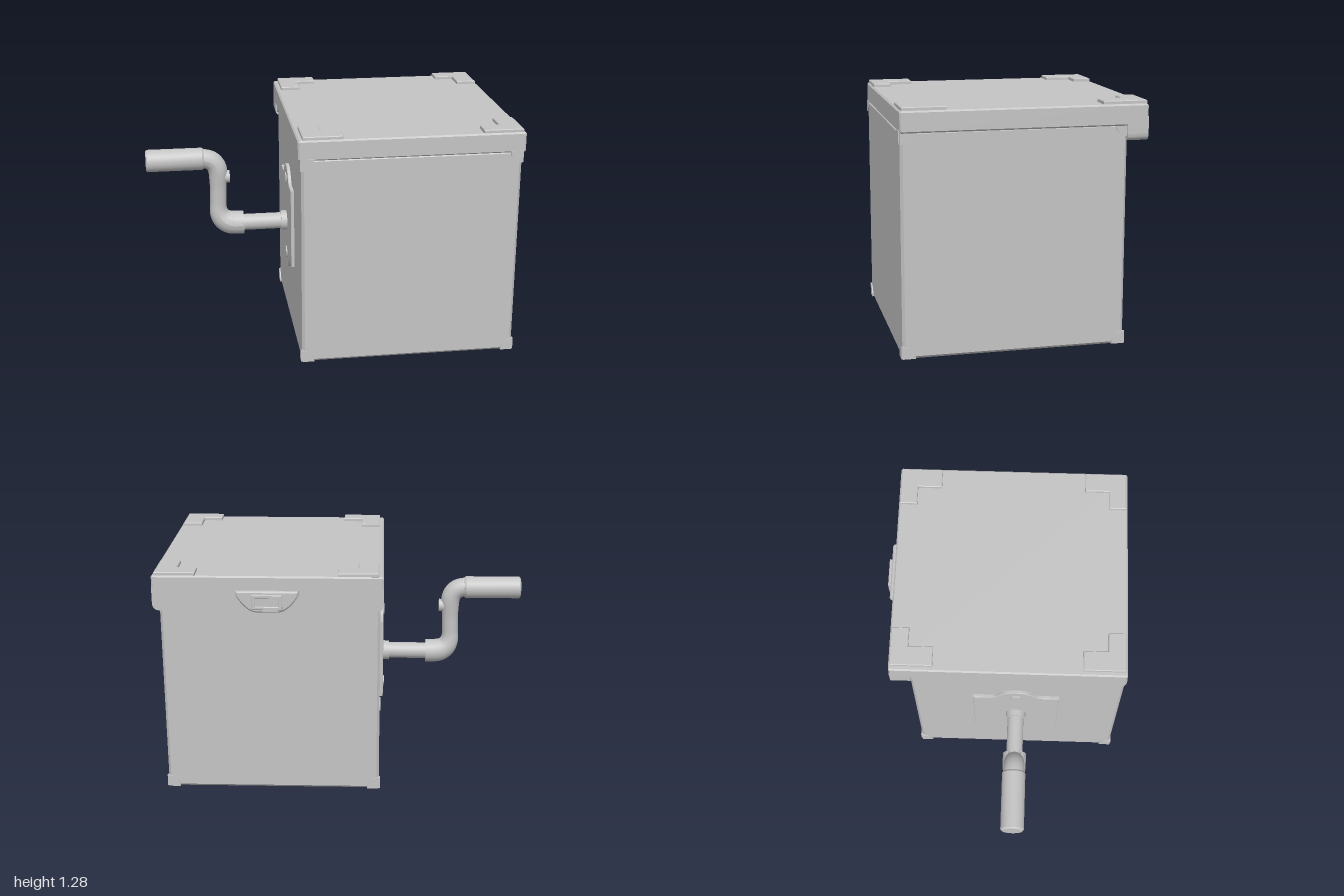
import * as THREE from 'three';
import { toCreasedNormals } from 'three/addons/utils/BufferGeometryUtils.js';

export function createModel() {
  const model = new THREE.Group();
  model.name = 'crankBox';
  const grey = new THREE.MeshStandardMaterial({ color: 0xc4c4c4 });
  grey.name = 'plain grey';

  const add = (name, geometry, parent = model) => {
    const mesh = new THREE.Mesh(geometry, grey);
    mesh.name = name;
    parent.add(mesh);
    return mesh;
  };

  // Extrusion from z = 0 to depth, with a one-step bevel cut inside the outline
  const slab = (shape, depth, bevel = 0, curveSegments = 10) => {
    const g = new THREE.ExtrudeGeometry(shape, {
      depth: depth - 2 * bevel, bevelEnabled: bevel > 0, bevelThickness: bevel,
      bevelSize: bevel, bevelOffset: -bevel, bevelSegments: 1, curveSegments,
    });
    g.translate(0, 0, bevel);
    return toCreasedNormals(g, 0.5);
  };
  const polygon = (pts) => new THREE.Shape(pts.map(([x, y]) => new THREE.Vector2(x, y)));

  // Box with all twelve edges chamfered
  const chamferBox = (x0, x1, y0, y1, z0, z1, c) => {
    const s = polygon([
      [x0 + c, y0], [x1 - c, y0], [x1, y0 + c], [x1, y1 - c],
      [x1 - c, y1], [x0 + c, y1], [x0, y1 - c], [x0, y0 + c],
    ]);
    return slab(s, z1 - z0, c).translate(0, 0, z0);
  };

  // Cylinder along x between two positions
  const rod = (x0, x1, y, z, r, r2 = r) => {
    const g = new THREE.CylinderGeometry(r2, r, Math.abs(x1 - x0), 28);
    g.rotateZ(-Math.PI / 2);
    return g.translate((x0 + x1) / 2, y, z);
  };

  // Body and lid
  const X0 = -0.198, X1 = 0.98, Z0 = -0.515, Z1 = 0.65;
  const LX0 = -0.215, LX1 = 0.998;
  add('body', chamferBox(X0, X1, 0, 1.165, Z0, Z1, 0.014));
  add('lid', chamferBox(LX0, LX1, 1.155, 1.265, -0.62, 0.652, 0.008));

  // Back flap of the lid: deep rounded lobes at both ends, shallow between
  const flap = new THREE.Shape();
  flap.moveTo(LX0, 1.2);
  flap.lineTo(LX0, 1.115);
  flap.quadraticCurveTo(LX0, 1.075, LX0 + 0.045, 1.075);
  flap.lineTo(LX0 + 0.1, 1.075);
  flap.bezierCurveTo(LX0 + 0.17, 1.075, LX0 + 0.16, 1.135, LX0 + 0.24, 1.135);
  flap.lineTo(LX1 - 0.24, 1.135);
  flap.bezierCurveTo(LX1 - 0.16, 1.135, LX1 - 0.17, 1.075, LX1 - 0.1, 1.075);
  flap.lineTo(LX1 - 0.045, 1.075);
  flap.quadraticCurveTo(LX1, 1.075, LX1, 1.115);
  flap.lineTo(LX1, 1.2);
  add('lidBackFlap', slab(flap, 0.11).translate(0, 0, -0.62));

  // Latch on the back flap: D-shaped plate with a raised rectangular frame
  const latch = new THREE.Shape();
  latch.moveTo(-0.163, 1.19);
  latch.lineTo(-0.163, 1.165);
  latch.bezierCurveTo(-0.13, 1.11, -0.09, 1.075, -0.05, 1.075);
  latch.lineTo(0.05, 1.075);
  latch.bezierCurveTo(0.09, 1.075, 0.13, 1.11, 0.163, 1.165);
  latch.lineTo(0.163, 1.19);
  add('latchPlate', slab(latch, 0.03, 0.007).translate(0.393, 0, -0.645));
  const frame = polygon([[-0.08, 1.095], [0.08, 1.095], [0.08, 1.175], [-0.08, 1.175]]);
  frame.holes.push(polygon([[-0.06, 1.112], [-0.06, 1.158], [0.06, 1.158], [0.06, 1.112]]));
  add('latchFrame', slab(frame, 0.02, 0.003).translate(0.393, 0, -0.66));
  add('latchButton', new THREE.BoxGeometry(0.12, 0.046, 0.012).translate(0.393, 1.135, -0.646));

  // L-shaped plates on the lid corners, drawn from the outer corner inwards
  const ell = polygon([[0, 0], [0.215, 0], [0.215, 0.095], [0.11, 0.095], [0.11, 0.228], [0, 0.228]]);
  const ellGeometry = slab(ell, 0.022, 0.004).rotateX(Math.PI / 2).translate(0, 1.283, 0);
  for (const sx of [1, -1]) for (const sz of [1, -1]) {
    const plate = add('lidCornerPlate', ellGeometry);
    plate.position.set(sx > 0 ? -0.19 : 0.985, 0, sz > 0 ? -0.613 : 0.643);
    plate.scale.set(sx, 1, sz);
  }

  // Rounded corner guards on the upright faces
  const quarter = new THREE.Shape();
  quarter.moveTo(0, 0);
  quarter.lineTo(-0.05, 0);
  quarter.absarc(0, 0, 0.065, Math.PI, Math.PI * 1.5, false);
  quarter.lineTo(0, 0);
  const guardGeometry = slab(quarter, 0.017).translate(0, 0, -0.01);
  const diagonal = new THREE.Vector3(1, 1, 1).normalize();
  for (const sx of [-1, 1]) for (const sy of [-1, 1]) for (const sz of [-1, 1]) {
    const corner = new THREE.Group();
    corner.name = 'cornerGuard';
    corner.position.set(sx > 0 ? X1 : X0, sy > 0 ? 1.165 : 0.003, sz > 0 ? Z1 : Z0);
    corner.scale.set(sx, sy, sz);
    for (const k of [0, 1]) {
      add('guardFace', guardGeometry, corner).quaternion.setFromAxisAngle(diagonal, k * Math.PI * 2 / 3);
    }
    model.add(corner);
  }

  // Crank mounting plate with a screw lobe above and below
  const CZ = 0.0625, CY = 0.615;
  const mount = new THREE.Shape();
  mount.moveTo(-0.24, -0.225);
  for (const s of [-1, 1]) {
    mount.lineTo(s * 0.24, s * 0.225);
    if (s < 0) mount.lineTo(-0.24, -0.225);
    mount.lineTo(s * 0.15, s * 0.225);
    mount.bezierCurveTo(s * 0.09, s * 0.225, s * 0.1, s * 0.305, 0, s * 0.308);
    mount.bezierCurveTo(-s * 0.1, s * 0.305, -s * 0.09, s * 0.225, -s * 0.15, s * 0.225);
    mount.lineTo(-s * 0.24, s * 0.225);
  }
  add('crankMount', slab(mount, 0.024, 0.003).rotateY(-Math.PI / 2).translate(-0.192, 0.645, CZ));
  for (const y of [0.87, 0.42]) add('mountScrew', rod(-0.222, -0.2, y, CZ, 0.032, 0.038));

  // Crank axle
  add('axleCollar', rod(-0.25, -0.2, CY, CZ, 0.056));
  add('axle', rod(-0.5, -0.2, CY, CZ, 0.046));

  // Crank arm: S-bent tube that narrows from elbow to arm
  const path = new THREE.CurvePath();
  const v = (x, y) => new THREE.Vector3(x, y, CZ);
  path.add(new THREE.LineCurve3(v(-0.465, CY), v(-0.505, CY)));
  path.add(new THREE.CubicBezierCurve3(v(-0.505, CY), v(-0.565, CY), v(-0.605, 0.65), v(-0.605, 0.715)));
  path.add(new THREE.LineCurve3(v(-0.605, 0.715), v(-0.6, 0.91)));
  path.add(new THREE.CubicBezierCurve3(v(-0.6, 0.91), v(-0.6, 0.97), v(-0.63, 1.005), v(-0.69, 1.005)));
  const steps = 48, sides = 20;
  const arm = new THREE.TubeGeometry(path, steps, 1, sides, false);
  const pos = arm.attributes.position, p = new THREE.Vector3();
  for (let i = 0; i < pos.count; i++) {
    const t = Math.floor(i / (sides + 1)) / steps;
    const c = path.getPointAt(t);
    const r = 0.046 + 0.02 * (1 - THREE.MathUtils.smoothstep(t, 0.12, 0.42))
      + 0.008 * THREE.MathUtils.smoothstep(t, 0.55, 0.8);
    p.fromBufferAttribute(pos, i).sub(c).multiplyScalar(r).add(c);
    pos.setXYZ(i, p.x, p.y, p.z);
  }
  arm.computeVertexNormals();
  add('crankArm', arm);
  add('crankElbowEnd', rod(-0.475, -0.463, CY, CZ, 0.066));
  add('armScrew', rod(-0.58, -0.536, 0.895, CZ, 0.036));

  // Handle grip, slightly rounded at both ends
  const grip = new THREE.LatheGeometry(
    [[0, 0], [0.055, 0], [0.0625, 0.008], [0.0625, 0.312], [0.055, 0.322], [0, 0.322]]
      .map(([r, y]) => new THREE.Vector2(r, y)), 32);
  add('handle', toCreasedNormals(grip, 0.5).rotateZ(-Math.PI / 2).translate(-1, 1.005, CZ));

  return model;
}
